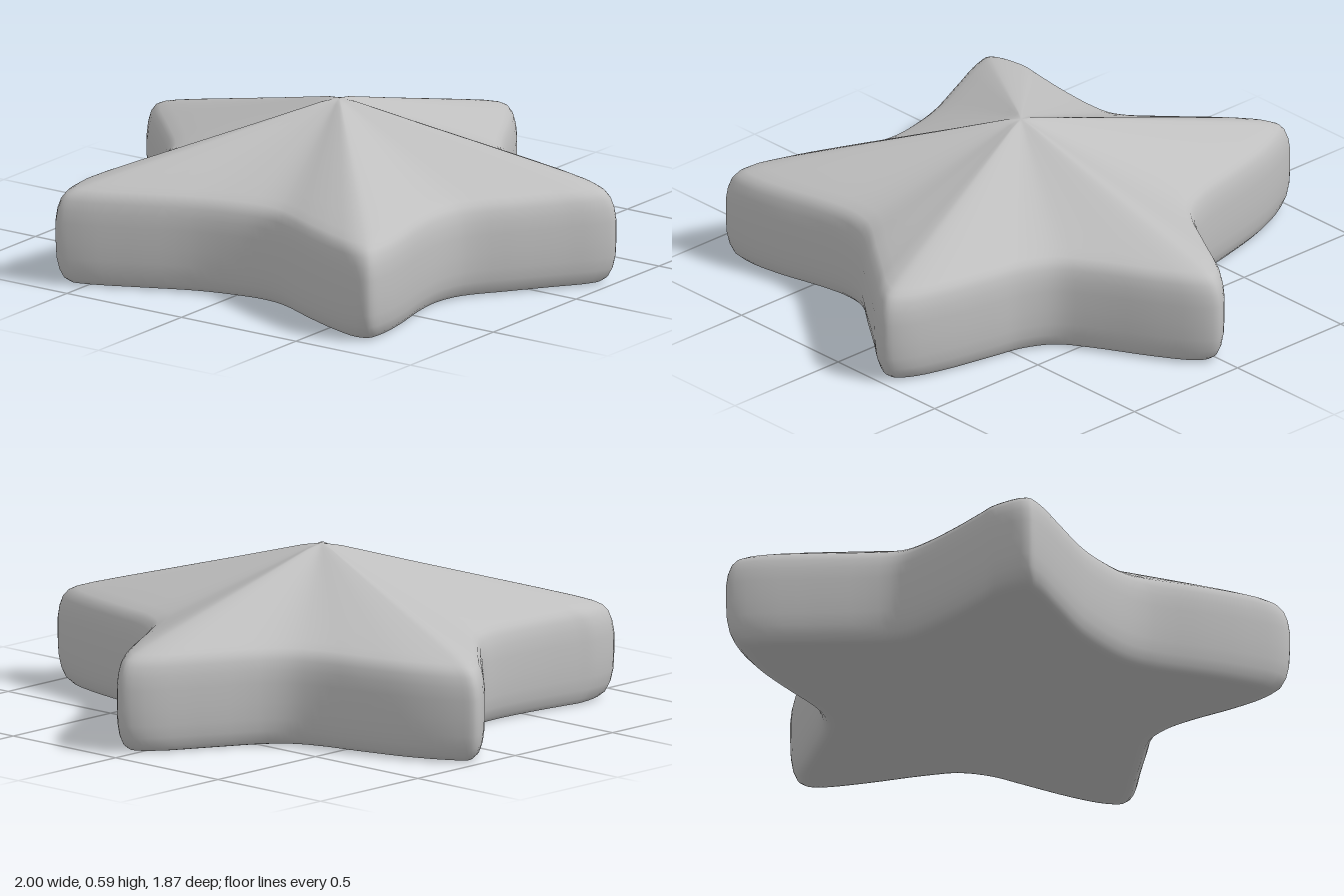
import * as THREE from 'three';

// Star outline (x, z), running from the back tip round the -x side
const OUTLINE = [
  [0.03, -0.94], [-0.04, -0.89], [-0.14, -0.72], [-0.25, -0.53], [-0.33, -0.45], [-0.43, -0.405],
  [-0.6, -0.365], [-0.8, -0.31], [-0.95, -0.24], [-1, -0.2], [-0.97, -0.13], [-0.8, 0.05],
  [-0.65, 0.21], [-0.61, 0.28], [-0.6, 0.38], [-0.61, 0.55], [-0.63, 0.71], [-0.64, 0.8],
  [-0.6, 0.93], [-0.53, 0.92], [-0.35, 0.84], [-0.15, 0.75], [0, 0.71], [0.12, 0.695],
  [0.22, 0.71], [0.4, 0.79], [0.55, 0.85], [0.68, 0.885], [0.73, 0.87], [0.74, 0.79],
  [0.72, 0.65], [0.68, 0.48], [0.665, 0.35], [0.69, 0.23], [0.8, 0.07], [0.9, -0.07],
  [0.98, -0.18], [1, -0.24], [0.95, -0.285], [0.82, -0.33], [0.6, -0.375], [0.48, -0.4],
  [0.37, -0.46], [0.29, -0.57], [0.17, -0.78], [0.08, -0.91],
];

// Section from the peak, over the rounded rim, to the flat base: [scale, height]
const SECTION = [
  [0.03, 0.59], [0.07, 0.583], [0.15, 0.561], [0.3, 0.52], [0.45, 0.48], [0.6, 0.44], [0.75, 0.4],
  [0.87, 0.367], [0.93, 0.348], [0.96, 0.333], [0.98, 0.31], [0.993, 0.275], [1, 0.23], [1, 0.16],
  [0.997, 0.1], [0.987, 0.055], [0.97, 0.022], [0.945, 0.004], [0.92, 0], [0.9, 0], [0.5, 0],
];

const PEAK = { x: 0.03, y: 0.593, z: 0.09 };

function starGeometry() {
  const curve = new THREE.CatmullRomCurve3(
    OUTLINE.map(([x, z]) => new THREE.Vector3(x, 0, z)), true, 'centripetal');
  const rim = curve.getPoints(OUTLINE.length * 4).slice(0, -1);
  const n = rim.length;

  // Scaled rings of the outline about the peak axis
  const positions = [PEAK.x, PEAK.y, PEAK.z];
  for (const [s, y] of SECTION) {
    for (const p of rim) {
      positions.push(PEAK.x + (p.x - PEAK.x) * s, y, PEAK.z + (p.z - PEAK.z) * s);
    }
  }
  const base = positions.length / 3;
  positions.push(PEAK.x, 0, PEAK.z);

  // Caps at peak and base, quads between rings
  const index = [];
  const last = SECTION.length - 1;
  const at = (ring, i) => 1 + ring * n + (i % n);
  for (let i = 0; i < n; i++) {
    index.push(0, at(0, i), at(0, i + 1));
    for (let r = 0; r < last; r++) {
      index.push(at(r, i), at(r + 1, i), at(r + 1, i + 1));
      index.push(at(r, i), at(r + 1, i + 1), at(r, i + 1));
    }
    index.push(base, at(last, i + 1), at(last, i));
  }

  const geometry = new THREE.BufferGeometry();
  geometry.setAttribute('position', new THREE.Float32BufferAttribute(positions, 3));
  geometry.setIndex(index);
  geometry.computeVertexNormals();
  return geometry;
}

export function createModel() {
  const grey = new THREE.MeshStandardMaterial({ color: 0xbfbfbf });
  grey.name = 'light grey';
  const star = new THREE.Mesh(starGeometry(), grey);
  star.name = 'star';
  const group = new THREE.Group();
  group.name = 'roundedStar';
  group.add(star);
  return group;
}
